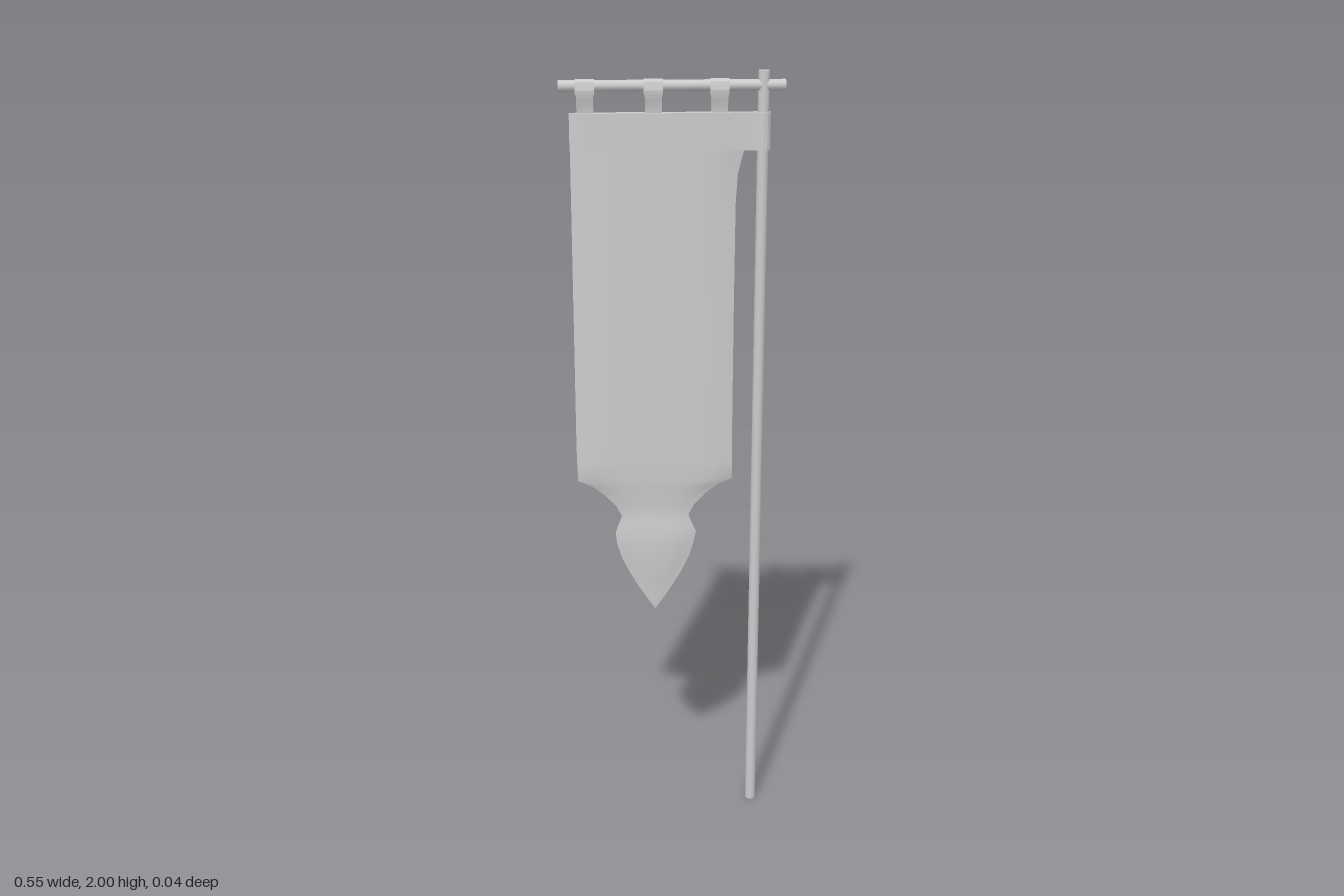
import * as THREE from 'three';
import { toCreasedNormals } from 'three/addons/utils/BufferGeometryUtils.js';

const material = new THREE.MeshStandardMaterial({ color: 0xcccccc, side: THREE.DoubleSide });
const POLE_X = 0.22, BAR_Y = 1.966, CLOTH_X = -0.045;

function part(name, geometry, x = 0, y = 0, z = 0) {
  const mesh = new THREE.Mesh(geometry, material);
  mesh.name = name;
  mesh.position.set(x, y, z);
  return mesh;
}

// Cloth rows: height, left edge, right edge, bulge of each face
const clothRows = [
  [1.82, -0.247, 0.178, 0.012], [1.79, -0.247, 0.169, 0.012], [1.75, -0.247, 0.16, 0.012],
  [1.68, -0.247, 0.156, 0.012], [1.4, -0.247, 0.155, 0.012], [1.05, -0.247, 0.155, 0.012],
  [1.01, -0.246, 0.156, 0.012], [0.962, -0.245, 0.157, 0.011], [0.945, -0.208, 0.118, 0.01],
  [0.92, -0.175, 0.085, 0.008], [0.89, -0.147, 0.057, 0.006], [0.862, -0.132, 0.043, 0.006],
  [0.84, -0.14, 0.051, 0.009], [0.815, -0.149, 0.063, 0.012], [0.78, -0.145, 0.056, 0.013],
  [0.74, -0.132, 0.043, 0.012], [0.7, -0.113, 0.024, 0.01], [0.66, -0.09, 0.0, 0.006],
  [0.625, -0.068, -0.022, 0.002], [0.592, -0.045, -0.045, 0],
];

// Closed lens-shaped sections with a thin flat hem along both edges
function clothGeometry() {
  const across = 12, ring = across * 2;
  const positions = [], index = [];
  for (const [y, left, right, bulge] of clothRows) {
    const hem = Math.min(0.018, (right - left) * 0.2);
    for (let i = 0; i < ring; i++) {
      const front = i < across;
      const t = (front ? i : ring - i) / across;
      const x = left + (right - left) * t;
      const inside = Math.max(0, Math.min(x - left, right - x) - hem * 0.5);
      const rise = 1 - Math.exp(-inside / 0.035);
      const edge = t === 0 || t === 1 ? 0 : Math.min(0.001, bulge);
      positions.push(x, y, (front ? 1 : -1) * (edge + bulge * rise));
    }
  }
  for (let r = 0; r < clothRows.length - 1; r++) {
    for (let i = 0; i < ring; i++) {
      const a = r * ring + i, b = r * ring + (i + 1) % ring;
      index.push(a, a + ring, b, b, a + ring, b + ring);
    }
  }
  const geometry = new THREE.BufferGeometry();
  geometry.setAttribute('position', new THREE.Float32BufferAttribute(positions, 3));
  geometry.setIndex(index);
  return toCreasedNormals(geometry, 0.9);
}

// Header band: flat sleeve that swells around the pole
function headerGeometry() {
  const s = new THREE.Shape();
  s.moveTo(-0.248, -0.006);
  s.quadraticCurveTo(-0.22, -0.013, -0.18, -0.013);
  s.lineTo(0.14, -0.012);
  s.quadraticCurveTo(0.185, -0.009, 0.205, -0.012);
  s.absarc(POLE_X, 0, 0.0185, -2.3, 2.3, false);
  s.quadraticCurveTo(0.185, 0.009, 0.14, 0.012);
  s.lineTo(-0.18, 0.013);
  s.quadraticCurveTo(-0.22, 0.013, -0.248, 0.006);
  s.closePath();
  const geometry = new THREE.ExtrudeGeometry(s, { depth: 0.09, bevelEnabled: false, curveSegments: 12 });
  geometry.rotateX(-Math.PI / 2);
  return toCreasedNormals(geometry, 0.7);
}

// Hanging strap: folded over the crossbar, tapering toward the band
function strapGeometry() {
  const s = new THREE.Shape();
  s.moveTo(-0.006, -0.075);
  s.lineTo(-0.007, -0.045);
  s.quadraticCurveTo(-0.016, -0.02, -0.016, 0);
  s.absarc(0, 0, 0.016, Math.PI, 0, true);
  s.quadraticCurveTo(0.016, -0.02, 0.007, -0.045);
  s.lineTo(0.006, -0.075);
  s.closePath();
  const geometry = new THREE.ExtrudeGeometry(s, { depth: 0.046, steps: 2, bevelEnabled: false, curveSegments: 10 });
  geometry.translate(0, 0, -0.023);
  geometry.rotateY(Math.PI / 2);
  const p = geometry.attributes.position;
  for (let i = 0; i < p.count; i++) {
    if (p.getY(i) < -0.02) p.setX(i, p.getX(i) * 0.88);
  }
  return toCreasedNormals(geometry, 0.7);
}

export function createModel() {
  const group = new THREE.Group();
  group.name = 'hangingBanner';

  group.add(part('pole', new THREE.CylinderGeometry(0.014, 0.014, 2, 12), POLE_X, 1, 0));

  const bar = part('crossbar', new THREE.CylinderGeometry(0.0135, 0.0135, 0.545, 12), 0, BAR_Y, 0);
  bar.rotation.z = Math.PI / 2;
  group.add(bar);

  group.add(part('headerBand', headerGeometry(), 0, 1.812, 0));
  group.add(part('cloth', clothGeometry()));

  // Three straps, each slightly askew
  const strap = strapGeometry();
  [-0.164, 0, 0.159].forEach((dx, i) => {
    const mesh = part('strap' + (i + 1), strap, CLOTH_X + dx, BAR_Y, 0);
    mesh.rotation.y = [-0.04, -0.05, -0.04][i];
    group.add(mesh);
  });

  return group;
}
